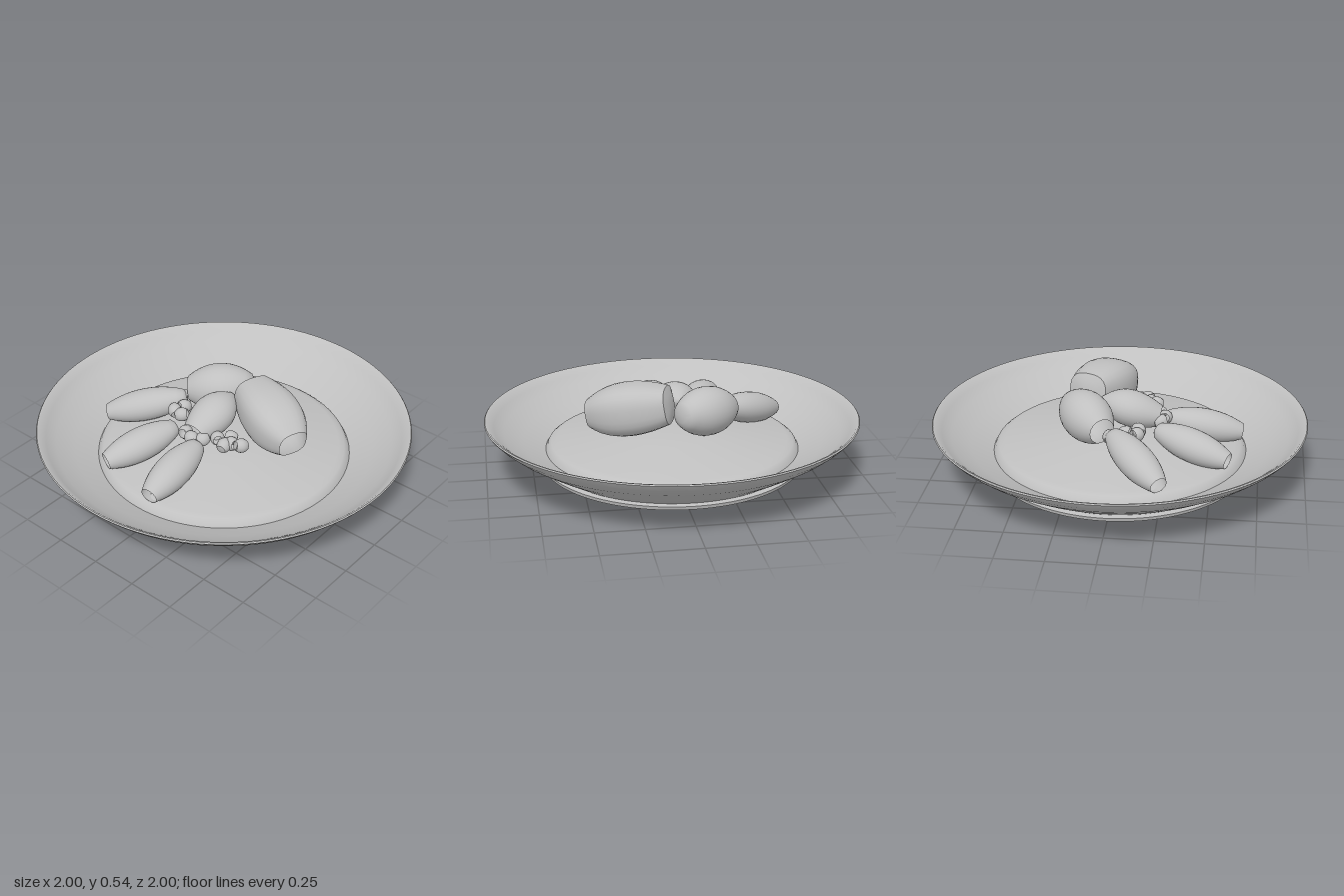
import * as THREE from 'three';
import { toCreasedNormals } from 'three/addons/utils/BufferGeometryUtils.js';

const grey = new THREE.MeshStandardMaterial({ color: 0xc0c0c0, side: THREE.DoubleSide });
grey.name = 'ceramic grey';

// Turned solid from [radius, height] pairs, smooth except at real edges
function turned(points, sides, crease) {
  const profile = points.map(([r, y]) => new THREE.Vector2(r, y));
  return toCreasedNormals(new THREE.LatheGeometry(profile, sides), crease);
}

// Barrel from point a (rounded end) to point b (open, cut end).
// w, h: widest half width and half height; r0, r1: end radii as a share of these.
// boxy: above 0, the section is squared off.
function barrel(name, a, b, w, h, r0, r1, boxy = 0, sides = 28, steps = 12) {
  const points = [[0, -0.04], [r0 * 0.6, -0.03]];
  for (let i = 0; i <= steps; i++) {
    const t = i / steps;
    const base = r0 + (r1 - r0) * t;
    points.push([base + (1 - base) * (1 - Math.abs(2 * t - 1) ** 2.1), t]);
  }
  const start = new THREE.Vector3(...a);
  const dir = new THREE.Vector3(...b).sub(start);
  const length = dir.length();
  dir.normalize();
  const side = new THREE.Vector3().crossVectors(dir, new THREE.Vector3(0, 1, 0)).normalize();
  const up = new THREE.Vector3().crossVectors(side, dir);
  const geo = new THREE.LatheGeometry(points.map(([r, y]) => new THREE.Vector2(r, y)), sides);
  const pos = geo.attributes.position;
  for (let i = 0; i < pos.count; i++) {
    // Push the diagonals outwards
    const k = 1 + boxy * Math.sin(2 * Math.atan2(pos.getZ(i), pos.getX(i))) ** 2;
    pos.setXYZ(i, pos.getX(i) * k, pos.getY(i), pos.getZ(i) * k);
  }
  geo.scale(w, length, h);
  geo.applyMatrix4(new THREE.Matrix4().makeBasis(side, dir, up).setPosition(start));
  const mesh = new THREE.Mesh(toCreasedNormals(geo, 0.6), grey);
  mesh.name = name;
  return mesh;
}

export function createModel() {
  const model = new THREE.Group();
  model.name = 'platedDish';

  // Plate: foot, ledge ring, flared wall, rim and a raised conical floor
  const plate = new THREE.Mesh(turned([
    [0, 0.004], [0.5, 0.004], [0.53, 0], [0.55, 0.002], [0.572, 0.032], [0.63, 0.05], [0.7, 0.067],
    [0.705, 0.086], [0.675, 0.09],
    [0.8, 0.165], [0.91, 0.235], [0.965, 0.28], [0.995, 0.312], [1, 0.32], [0.995, 0.326], [0.985, 0.324],
    [0.95, 0.29], [0.9, 0.252], [0.8, 0.2], [0.68, 0.145],
    [0.668, 0.168], [0.65, 0.182], [0.62, 0.19], [0.3, 0.242], [0, 0.29],
  ], 96, 0.6), grey);
  plate.name = 'plate';
  model.add(plate);

  // Large pieces at the back and centre
  model.add(
    barrel('largePiece', [0.045, 0.435, -0.18], [0.445, 0.36, -0.025], 0.15, 0.135, 0.72, 0.54, 0.1),
    barrel('backPiece', [-0.015, 0.4, -0.26], [-0.3, 0.365, -0.06], 0.13, 0.13, 0.5, 0.52),
    barrel('centrePiece', [-0.025, 0.42, -0.09], [-0.025, 0.34, 0.215], 0.113, 0.095, 0.25, 0.6),
  );

  // Long pieces fanned towards the front
  const fan = [
    [[-0.285, 0.34, -0.005], [-0.615, 0.235, 0.26]],
    [[-0.16, 0.32, 0.22], [-0.31, 0.235, 0.59]],
    [[0.03, 0.31, 0.255], [0.055, 0.235, 0.655]],
  ];
  fan.forEach(([a, b], i) => model.add(barrel('longPiece' + (i + 1), a, b, 0.095, 0.085, 0.5, 0.5)));

  // Small beads between the larger pieces
  const beads = new THREE.Group();
  beads.name = 'beads';
  const spots = [
    [-0.29, -0.02], [-0.235, 0.055], [-0.25, 0.115], [-0.195, 0.12],
    [-0.075, 0.225], [-0.015, 0.245], [0.035, 0.215],
    [0.09, 0.16], [0.14, 0.11], [0.155, 0.185], [0.175, 0.15], [0.225, 0.13],
  ];
  spots.forEach(([x, z], i) => {
    const turn = i * 1.9;
    const dx = Math.cos(turn) * 0.032, dz = Math.sin(turn) * 0.032;
    beads.add(barrel('bead', [x - dx, 0.325, z - dz], [x + dx, 0.34, z + dz], 0.038, 0.038, 0.65, 0.65, 0, 14, 6));
  });
  model.add(beads);

  return model;
}
